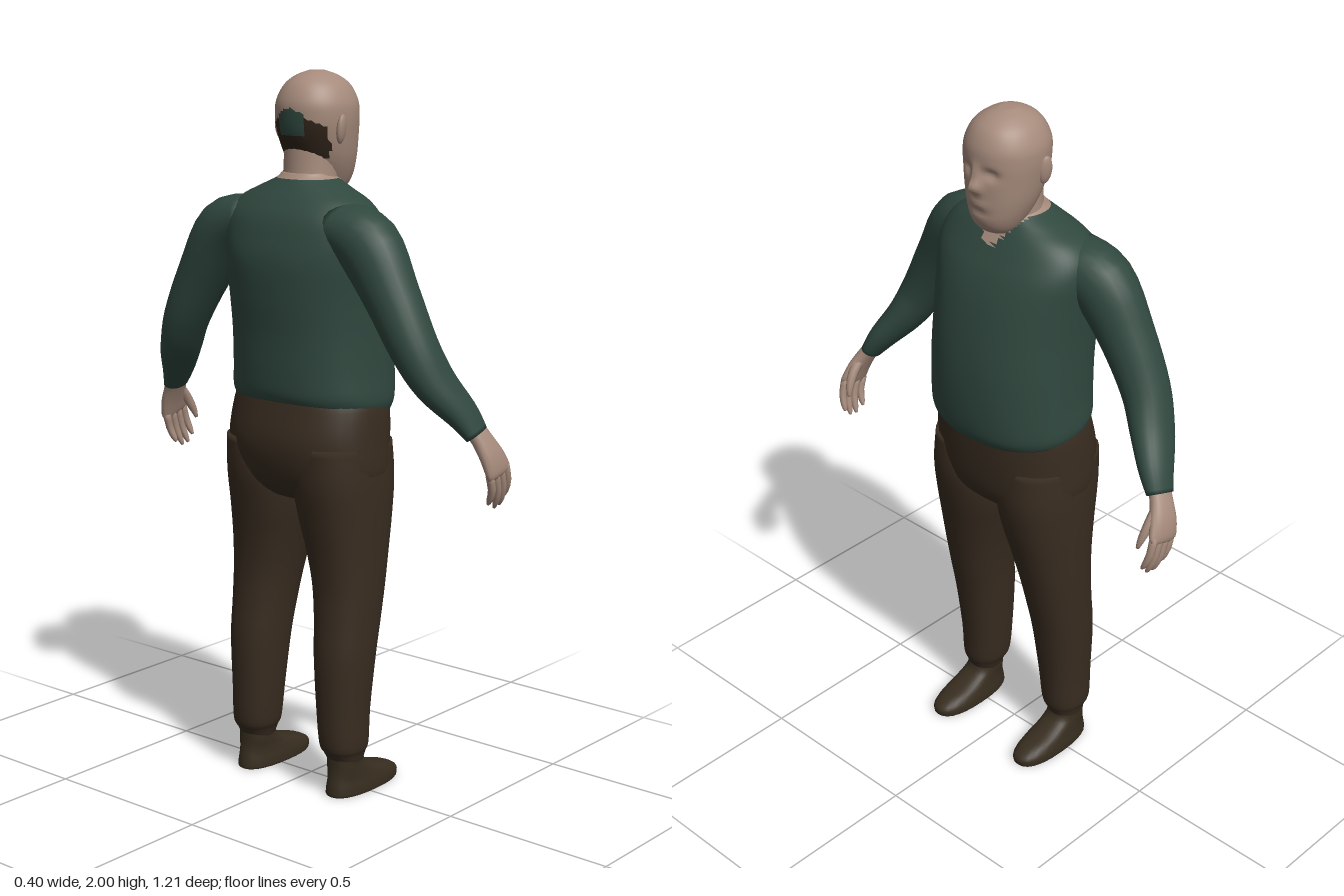
import * as THREE from 'three';

const mat = (name, color) => {
  const m = new THREE.MeshStandardMaterial({ color });
  m.name = name;
  return m;
};

// Catmull-Rom resampling of a list of number rows
function resample(rows, sub) {
  const out = [];
  const at = (i) => rows[Math.max(0, Math.min(rows.length - 1, i))];
  for (let i = 0; i < rows.length - 1; i++) {
    for (let s = 0; s < sub; s++) {
      const t = s / sub;
      out.push(rows[i].map((b, k) => {
        const a = at(i - 1)[k], c = at(i + 1)[k], d = at(i + 2)[k];
        return b + 0.5 * t * (c - a + t * (2 * a - 5 * b + 4 * c - d + t * (3 * (b - c) + d - a)));
      }));
    }
  }
  out.push(rows[rows.length - 1]);
  return out;
}

// Closed loft through superellipse rings: rows of [x, y, z, ru, rv]
function loft(name, rows, materials, opt = {}) {
  const { sides = 24, sub = 4, power = 2, upright = false, deform, pick } = opt;
  const rings = resample(rows, sub);
  const pos = [];
  const centre = (r) => new THREE.Vector3(r[0], r[1], r[2]);
  const add = (p) => {
    if (deform) deform(p);
    pos.push(p.x, p.y, p.z);
  };
  const shape = (v) => Math.sign(v) * Math.pow(Math.abs(v), 2 / power);
  rings.forEach((r, i) => {
    const t = upright ? new THREE.Vector3(0, 1, 0)
      : centre(rings[Math.min(i + 1, rings.length - 1)]).sub(centre(rings[Math.max(i - 1, 0)])).normalize();
    const u = new THREE.Vector3(1, 0, 0).addScaledVector(t, -t.x).normalize();
    const v = new THREE.Vector3().crossVectors(t, u);
    for (let j = 0; j < sides; j++) {
      const a = (j / sides) * Math.PI * 2;
      add(centre(r).addScaledVector(u, r[3] * shape(Math.cos(a))).addScaledVector(v, r[4] * shape(Math.sin(a))));
    }
  });
  const n = rings.length, first = n * sides;
  add(centre(rings[0]));
  add(centre(rings[n - 1]));
  const faces = [];
  for (let j = 0; j < sides; j++) {
    const k = (j + 1) % sides;
    for (let i = 0; i < n - 1; i++) {
      const a = i * sides + j, b = i * sides + k;
      faces.push([a, b, a + sides], [b, b + sides, a + sides]);
    }
    faces.push([first, k, j], [first + 1, (n - 1) * sides + j, (n - 1) * sides + k]);
  }
  // Sort faces into colour groups
  const list = Array.isArray(materials) ? materials : [materials];
  const bins = list.map(() => []);
  for (const f of faces) {
    const c = [0, 1, 2].map((q) => f.reduce((s, e) => s + pos[e * 3 + q], 0) / 3);
    bins[pick ? pick(...c) : 0].push(...f);
  }
  const geo = new THREE.BufferGeometry();
  geo.setAttribute('position', new THREE.Float32BufferAttribute(pos, 3));
  geo.setIndex(bins.flat());
  let start = 0;
  bins.forEach((b, i) => {
    geo.addGroup(start, b.length, i);
    start += b.length;
  });
  geo.computeVertexNormals();
  const mesh = new THREE.Mesh(geo, list);
  mesh.name = name;
  return mesh;
}

// Upright row from [y, xMin, xMax, zMin, zMax], mirrored by s
const row = (s) => ([y, x0, x1, z0, z1]) => [(x0 + x1) / 2, y, (s * (z0 + z1)) / 2, (x1 - x0) / 2, (z1 - z0) / 2];
const centred = ([y, x0, x1, rz]) => row(1)([y, x0, x1, -rz, rz]);

export function createModel() {
  const skin = mat('skin', 0xa68b7c);
  const shirt = mat('green shirt', 0x30483f);
  const trousers = mat('brown trousers', 0x382c20);
  const shoe = mat('shoe brown', 0x372d1f);
  const hair = mat('dark hair', 0x2f2319);
  const body = new THREE.Group();
  body.name = 'standingMan';

  // Sweater with a ragged V neck and a hem that dips at the front
  body.add(loft('sweater', [
    [1.10, -0.165, 0.178, 0.228], [1.13, -0.175, 0.193, 0.235], [1.2, -0.18, 0.2, 0.231],
    [1.3, -0.185, 0.198, 0.229], [1.4, -0.195, 0.186, 0.23], [1.5, -0.2, 0.165, 0.238],
    [1.57, -0.187, 0.14, 0.245], [1.62, -0.17, 0.112, 0.235], [1.66, -0.142, 0.088, 0.2],
    [1.69, -0.115, 0.07, 0.14], [1.715, -0.092, 0.06, 0.085], [1.73, -0.08, 0.05, 0.07],
  ].map(centred), [shirt, skin], {
    sides: 64, sub: 5, power: 2.25, upright: true,
    deform: (p) => { p.y -= p.x * 0.12 * Math.max(0, 1 - (p.y - 1.1) / 0.12); },
    pick: (x, y, z) => (y > 1.715 || (x > 0 && y > 1.625 + Math.abs(z) * 1.15) ? 1 : 0),
  }));

  // Neck
  body.add(loft('neck', [
    [1.6, -0.06, 0.07, 0.07], [1.68, -0.078, 0.07, 0.078], [1.74, -0.075, 0.07, 0.076], [1.82, -0.07, 0.07, 0.075],
  ].map(centred), skin, { upright: true }));

  // Head with nose, brow and eye sockets, plus the hair at the back
  body.add(loft('head', [
    [1.665, 0.03, 0.08, 0.03], [1.685, 0, 0.115, 0.055], [1.72, -0.03, 0.135, 0.075],
    [1.77, -0.06, 0.14, 0.093], [1.83, -0.085, 0.142, 0.104], [1.88, -0.092, 0.142, 0.109],
    [1.92, -0.09, 0.138, 0.105], [1.96, -0.07, 0.118, 0.085], [1.985, -0.04, 0.085, 0.055],
    [1.999, 0.0, 0.045, 0.022],
  ].map(centred), [skin, hair, shirt], {
    sides: 64, sub: 6, power: 2.1, upright: true,
    deform: (p) => {
      if (p.x < 0.06) return;
      const bump = (y, z, h, w) => Math.exp(-(((p.y - y) / h) ** 2) - (((Math.abs(p.z) - z) / w) ** 2));
      p.x += 0.026 * bump(1.818, 0, 0.018, 0.016) + 0.012 * bump(1.85, 0, 0.025, 0.012)
        - 0.014 * bump(1.855, 0.04, 0.014, 0.02) + 0.006 * bump(1.77, 0, 0.012, 0.03)
        - 0.005 * bump(1.745, 0, 0.008, 0.03);
    },
    pick: (x, y, z) => {
      const w = Math.abs(z);
      if (x > -0.02 || y < 1.77) return 0;
      if (y > 1.83 && y < 1.905 - w * 0.4 && w < 0.042) return 2;
      return y < 1.9 - w * 0.5 && w < 0.088 ? 1 : 0;
    },
  }));

  // Pelvis
  body.add(loft('trouserSeat', [
    [0.825, -0.06, 0.06, 0.06], [0.85, -0.12, 0.115, 0.16], [0.9, -0.16, 0.15, 0.236],
    [1, -0.183, 0.164, 0.24], [1.1, -0.165, 0.167, 0.232], [1.14, -0.155, 0.165, 0.215],
  ].map(centred), trousers, { sides: 40, power: 2.3, upright: true }));

  for (const s of [1, -1]) {
    const side = s > 0 ? 'near' : 'far';

    // Ear
    const ear = new THREE.Mesh(new THREE.SphereGeometry(1, 14, 10), skin);
    ear.name = side + 'Ear';
    ear.scale.set(0.02, 0.04, 0.011);
    ear.position.set(-0.002, 1.848, s * 0.106);
    ear.rotation.set(s * 0.12, s * 0.25, 0);
    body.add(ear);

    // Trouser leg
    body.add(loft(side + 'Leg', [
      [0.09, -0.09, 0, 0.12, 0.21], [0.12, -0.108, 0.012, 0.11, 0.217], [0.15, -0.122, 0.022, 0.098, 0.226],
      [0.25, -0.127, 0.03, 0.088, 0.228], [0.4, -0.13, 0.05, 0.076, 0.236], [0.5, -0.122, 0.07, 0.067, 0.239],
      [0.6, -0.117, 0.09, 0.052, 0.242], [0.7, -0.125, 0.112, 0.03, 0.243], [0.8, -0.142, 0.135, 0.006, 0.244],
      [0.9, -0.16, 0.15, 0, 0.243], [1, -0.16, 0.14, 0.03, 0.235],
    ].map(row(s)), trousers, { sides: 28, power: 2.2, upright: true }));

    // Shoe
    body.add(loft(side + 'Shoe', [
      [0, -0.11, 0.158, 0.112, 0.22], [0.006, -0.112, 0.162, 0.11, 0.222], [0.025, -0.11, 0.16, 0.111, 0.221],
      [0.045, -0.106, 0.125, 0.115, 0.217], [0.065, -0.102, 0.06, 0.118, 0.214], [0.09, -0.1, 0.012, 0.118, 0.212],
      [0.13, -0.1, 0.0, 0.12, 0.21],
    ].map(row(s)), shoe, { sides: 28, power: 2.4, upright: true }));

    // Sleeve
    const mirror = (r) => [r[0], r[1], r[2] * s, r[3], r[4]];
    body.add(loft(side + 'Sleeve', [
      [-0.06, 1.6, 0.15, 0.085, 0.065], [-0.065, 1.555, 0.25, 0.085, 0.09], [-0.07, 1.43, 0.335, 0.074, 0.077],
      [-0.066, 1.3, 0.408, 0.069, 0.064], [-0.04, 1.21, 0.457, 0.067, 0.052], [0.005, 1.13, 0.512, 0.054, 0.038],
      [0.026, 1.075, 0.546, 0.042, 0.026],
    ].map(mirror), shirt));

    // Hand: palm, four fingers and thumb
    const hand = new THREE.Group();
    hand.name = side + 'Hand';
    hand.add(loft('palm', [
      [0.015, 1.11, 0.528, 0.034, 0.02], [0.032, 1.065, 0.556, 0.036, 0.021], [0.048, 1.02, 0.578, 0.045, 0.02],
      [0.062, 0.98, 0.59, 0.05, 0.015], [0.067, 0.965, 0.591, 0.044, 0.008],
    ].map(mirror), skin, { sides: 16, power: 2.3 }));
    for (let k = 0; k < 4; k++) {
      const o = (k - 1.5) * 0.024, len = [0.8, 1, 1.03, 0.9][k];
      const x = 0.062 + o * 0.94, y = 0.98 + o * 0.3;
      hand.add(loft('finger', [
        [x, y, 0.589, 0.011, 0.012], [x + 0.014 * len, y - 0.05 * len, 0.589, 0.011, 0.011],
        [x + 0.022 * len, y - 0.088 * len, 0.578, 0.009, 0.009], [x + 0.025 * len, y - 0.105 * len, 0.57, 0.004, 0.004],
      ].map(mirror), skin, { sides: 8, sub: 2 }));
    }
    hand.add(loft('thumb', [
      [0.05, 1.06, 0.562, 0.014, 0.015], [0.085, 1.02, 0.563, 0.015, 0.014],
      [0.108, 0.98, 0.558, 0.011, 0.011], [0.117, 0.952, 0.552, 0.005, 0.005],
    ].map(mirror), skin, { sides: 8, sub: 3 }));
    body.add(hand);
  }
  return body;
}
